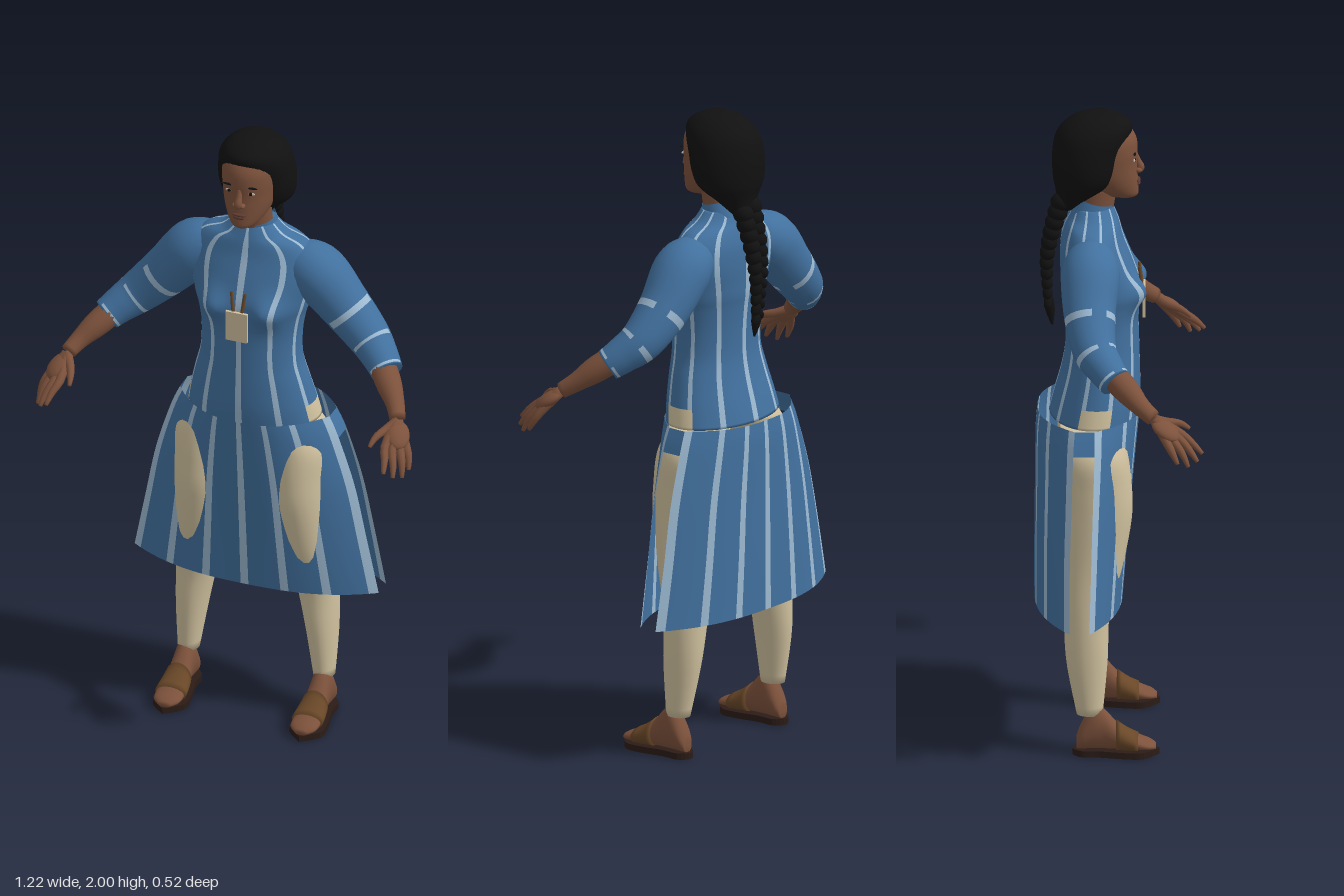
import * as THREE from 'three';

const mat = (name, color, side = THREE.FrontSide) => {
  const m = new THREE.MeshStandardMaterial({ color, side });
  m.name = name;
  return m;
};
const blue = mat('blue cloth', 0x42719f, THREE.DoubleSide);
const pale = mat('pale stripe', 0x9dbad2, THREE.DoubleSide);
const cream = mat('cream cloth', 0xd2c3a0);
const skinMat = mat('brown skin', 0x7d523c);
const hairMat = mat('black hair', 0x111111);
const strapMat = mat('sandal strap', 0x6a4828);
const soleMat = mat('dark sole', 0x2b1c17);
const lipMat = mat('dark lip', 0x5e3a30);
const eyeWhite = mat('eye white', 0xb9aaa0);

// Catmull-Rom resampling of a small table of rows
function smooth(rows, n) {
  const out = [];
  for (let j = 0; j <= n; j++) {
    const f = (j / n) * (rows.length - 1), k = Math.min(Math.floor(f), rows.length - 2), t = f - k;
    const at = (i) => rows[Math.max(0, Math.min(rows.length - 1, i))];
    out.push(rows[0].map((_, c) => {
      const [a, b, d, e] = [at(k - 1)[c], at(k)[c], at(k + 1)[c], at(k + 2)[c]];
      return b + 0.5 * t * (d - a + t * (2 * a - 5 * b + 4 * d - e + t * (3 * (b - d) + e - a)));
    }));
  }
  return out;
}

// Surface through rings of points; pick(i, j) chooses the material of each cell
function skin(name, rings, mats, pick = () => 0, closed = true) {
  const n = rings[0].length, pos = rings.flat(2), buckets = mats.map(() => []);
  for (let j = 0; j < rings.length - 1; j++) {
    for (let i = 0; i < (closed ? n : n - 1); i++) {
      const a = j * n + i, b = j * n + ((i + 1) % n);
      buckets[pick(i, j)].push(a, b, b + n, a, b + n, a + n);
    }
  }
  if (closed) {
    [0, rings.length - 1].forEach((j) => {
      const c = pos.length / 3, r = rings[j];
      for (let k = 0; k < 3; k++) pos.push(r.reduce((s, p) => s + p[k], 0) / n);
      for (let i = 0; i < n; i++) {
        const a = j * n + i, b = j * n + ((i + 1) % n);
        buckets[0].push(c, ...(j ? [a, b] : [b, a]));
      }
    });
    // turn the faces outward
    const v = (i) => new THREE.Vector3(pos[3 * i], pos[3 * i + 1], pos[3 * i + 2]);
    let vol = 0;
    buckets.forEach((q) => {
      for (let i = 0; i < q.length; i += 3) vol += v(q[i]).dot(v(q[i + 1]).cross(v(q[i + 2])));
    });
    if (vol < 0) buckets.forEach((q) => q.reverse());
  }
  const g = new THREE.BufferGeometry();
  g.setAttribute('position', new THREE.Float32BufferAttribute(pos, 3));
  g.setIndex(buckets.flat());
  let start = 0;
  buckets.forEach((q, k) => { g.addGroup(start, q.length, k); start += q.length; });
  g.computeVertexNormals();
  const mesh = new THREE.Mesh(g, mats.length > 1 ? mats : mats[0]);
  mesh.name = name;
  return mesh;
}

// Horizontal ellipse ring; point 0 straddles the front centre line
function ring([y, cx, hw, zf, zb], n = 32) {
  return Array.from({ length: n }, (_, i) => {
    const a = ((i - 0.5) / n) * Math.PI * 2;
    return [cx + hw * Math.sin(a), y, (zf + zb) / 2 + ((zf - zb) / 2) * Math.cos(a)];
  });
}

// Tapered round limb through [x, y, z, radius] rows
function limb(name, rows, mats, n = 12, steps = 10, pick) {
  const path = smooth(rows, steps);
  const rings = path.map((p, j) => {
    const a = path[Math.max(0, j - 1)], b = path[Math.min(steps, j + 1)];
    const t = new THREE.Vector3(b[0] - a[0], b[1] - a[1], b[2] - a[2]).normalize();
    const u = new THREE.Vector3(0.3, 0.2, 1).cross(t).normalize(), w = t.clone().cross(u);
    return Array.from({ length: n }, (_, i) => {
      const q = (i / n) * Math.PI * 2, c = Math.cos(q) * p[3], s = Math.sin(q) * p[3];
      return [p[0] + u.x * c + w.x * s, p[1] + u.y * c + w.y * s, p[2] + u.z * c + w.z * s];
    });
  });
  return skin(name, rings, mats, pick);
}

export function createModel() {
  const model = new THREE.Group();
  const add = (...m) => model.add(...m);
  const ball = (name, material, [x, y, z], [sx, sy, sz], rz = 0) => {
    const m = new THREE.Mesh(new THREE.SphereGeometry(1, 16, 12), material);
    m.name = name;
    m.position.set(x, y, z);
    m.scale.set(sx, sy, sz);
    m.rotation.z = rz;
    add(m);
    return m;
  };

  // Tunic body with vertical stripes and a cream opening at each hip
  const body = smooth([
    [1.70, 0, 0.07, -0.02, -0.14], [1.67, 0, 0.105, -0.008, -0.152], [1.645, 0, 0.165, 0, -0.165],
    [1.60, 0, 0.205, 0.012, -0.178], [1.54, 0, 0.21, 0.035, -0.182], [1.48, 0, 0.192, 0.055, -0.18],
    [1.44, 0, 0.182, 0.062, -0.178], [1.40, 0, 0.17, 0.06, -0.172], [1.33, 0, 0.16, 0.058, -0.166],
    [1.25, 0, 0.162, 0.06, -0.166], [1.18, 0, 0.18, 0.062, -0.178], [1.10, 0, 0.2, 0.063, -0.2],
    [1.04, 0, 0.212, 0.058, -0.215]], 60).map((r) => ring(r, 60));
  body.forEach((r) => r.forEach((p) => {
    if (p[2] > -0.06) p[2] += 0.034 * Math.exp(-(((Math.abs(p[0]) - 0.09) / 0.045) ** 2) - ((p[1] - 1.445) / 0.05) ** 2);
  }));
  add(skin('tunicBody', body, [blue, pale, cream], (i, j) => {
    if (body[j][0][1] < 1.11 && Math.abs(Math.abs(i - 30) - 15) <= 3) return 2;
    return i % 6 === 0 ? 1 : 0;
  }));
  const collar = new THREE.Mesh(new THREE.CylinderGeometry(0.064, 0.074, 0.05, 32, 1, true), blue);
  collar.name = 'collar';
  collar.position.set(0, 1.695, -0.08);
  collar.scale.z = 0.9;
  collar.rotation.x = 0.25;
  add(collar);

  // Skirt panels: [y, half width, front middle z, front edge z, back middle z, back edge z]
  const cut = smooth([[1.05, 0.245, 0.062, -0.075, -0.25, -0.135], [0.98, 0.275, 0.055, -0.075, -0.256, -0.14],
    [0.82, 0.325, 0.04, -0.08, -0.258, -0.145], [0.64, 0.362, 0.025, -0.085, -0.26, -0.15],
    [0.45, 0.40, 0.01, -0.09, -0.26, -0.15]], 24);
  const panel = (name, mid, edge) => add(skin(name, cut.map((r) => Array.from({ length: 32 }, (_, i) => {
    const u = (i / 31) * 2 - 1;
    return [u * r[1], r[0], r[mid] + (r[edge] - r[mid]) * Math.abs(u) ** 2.6];
  })), [blue, pale], (i) => (i % 5 === 0 ? 1 : 0), false));
  panel('frontSkirtPanel', 2, 3);
  panel('backSkirtPanel', 4, 5);

  // Chest pocket with two sticks
  const pocket = new THREE.Mesh(new THREE.BoxGeometry(0.07, 0.1, 0.009), cream);
  pocket.name = 'chestPocket';
  pocket.position.set(0, 1.395, 0.074);
  add(pocket);

  for (const s of [1, -1]) {
    const flip = (rows) => rows.map(([x, ...r]) => [x * s, ...r]);
    add(limb('pocketStick', flip([[0.012, 1.42, 0.07, 0.006], [0.022, 1.505, 0.06, 0.005]]), [strapMat], 8, 2));
    // Side piece joining the panels above the slit
    add(skin('skirtSide', cut.slice(0, 7).map((r) => [[s * r[1], r[0], r[3]], [s * r[1], r[0], r[5]]]), [blue], undefined, false));

    // Sleeve, forearm and hand
    add(limb('sleeve', flip([[0.13, 1.575, -0.085, 0.07], [0.20, 1.545, -0.088, 0.09], [0.285, 1.45, -0.09, 0.08],
      [0.37, 1.365, -0.075, 0.068], [0.425, 1.32, -0.04, 0.057], [0.46, 1.29, -0.01, 0.05]]), [blue, pale], 20, 28,
    (i, j) => ((j === 12 || j === 18 || j === 26) && i % 10 < 8 ? 1 : 0)));
    add(limb('forearm', flip([[0.42, 1.325, -0.04, 0.042], [0.475, 1.275, 0.02, 0.041], [0.515, 1.235, 0.065, 0.03],
      [0.54, 1.205, 0.105, 0.025]]), [skinMat], 14, 10));
    const palm = ball('palm', skinMat, [s * 0.556, 1.172, 0.143], [0.037, 0.02, 0.05]);
    palm.rotation.set(0.6, s * 0.3, s * -0.4);
    const fingers = [
      [[0.532, 1.155, 0.185], [0.545, 1.125, 0.225], [0.553, 1.095, 0.255]],
      [[0.553, 1.145, 0.182], [0.57, 1.11, 0.217], [0.578, 1.078, 0.24]],
      [[0.573, 1.14, 0.168], [0.59, 1.105, 0.195], [0.597, 1.068, 0.212]],
      [[0.585, 1.14, 0.148], [0.6, 1.11, 0.165], [0.606, 1.08, 0.18]],
      [[0.518, 1.185, 0.145], [0.5, 1.175, 0.185], [0.492, 1.155, 0.215]]];
    fingers.forEach((f) => add(limb('finger', flip([[0.542, 1.2, 0.11, 0.017],
      [...f[0], 0.014], [...f[1], 0.011], [...f[2], 0.006]]), [skinMat], 8, 8)));

    // Legging
    add(skin('legging', smooth([[1.03, 0.11, 0.09, 0.01, -0.18], [0.95, 0.15, 0.1, 0.026, -0.19], [0.85, 0.158, 0.095, 0.038, -0.19],
      [0.75, 0.163, 0.09, 0.039, -0.185], [0.6, 0.177, 0.077, 0.012, -0.178], [0.45, 0.196, 0.066, -0.028, -0.17],
      [0.3, 0.212, 0.051, -0.035, -0.162], [0.13, 0.222, 0.033, -0.05, -0.13]], 32)
      .map(([y, x, ...r]) => ring([y, x * s, ...r], 28)), [cream]));

    // Foot with sandal: [z, half width, top y]
    const footRows = smooth([[-0.13, 0.018, 0.06], [-0.115, 0.03, 0.1], [-0.08, 0.034, 0.16], [-0.05, 0.033, 0.15],
      [-0.01, 0.037, 0.105], [0.03, 0.043, 0.075], [0.07, 0.045, 0.055], [0.095, 0.038, 0.045], [0.112, 0.018, 0.035]], 24);
    const footRing = ([z, hw, top], grow) => Array.from({ length: 20 }, (_, i) => {
      const a = (i / 20) * Math.PI * 2, h = (top - 0.018) / 2;
      return [s * 0.224 + (hw + grow) * Math.cos(a), 0.018 + h + (h + grow) * Math.sin(a), z];
    });
    add(skin('foot', footRows.map((r) => footRing(r, 0)), [skinMat]));
    add(skin('sandalStrap', footRows.slice(12, 18).map((r) => footRing(r, 0.005)), [strapMat]));
    const outline = new THREE.Shape(new THREE.SplineCurve([[0, -0.122], [0.05, -0.075], [0.052, -0.02], [0.036, 0.06], [0.034, 0.115],
      [0, 0.143], [-0.034, 0.115], [-0.036, 0.06], [-0.052, -0.02], [-0.05, -0.075], [0, -0.122]]
      .map((p) => new THREE.Vector2(...p))).getPoints(40));
    const sole = new THREE.Mesh(new THREE.ExtrudeGeometry(outline, { depth: 0.02, bevelEnabled: false }), soleMat);
    sole.name = 'sandalSole';
    sole.rotation.x = -Math.PI / 2;
    sole.position.x = s * 0.224;
    add(sole);

    // Eye, brow and nostril wing
    ball('eyeWhite', eyeWhite, [s * 0.035, 1.856, 0.0445], [0.014, 0.005, 0.004]);
    ball('iris', hairMat, [s * 0.035, 1.856, 0.0465], [0.006, 0.0055, 0.004]);
    ball('eyebrow', hairMat, [s * 0.037, 1.877, 0.046], [0.02, 0.0035, 0.004], s * 0.05);
    ball('nostrilWing', skinMat, [s * 0.012, 1.815, 0.058], [0.009, 0.008, 0.011]);
  }

  // Neck, head and face
  add(limb('neck', [[0, 1.66, -0.08, 0.056], [0, 1.78, -0.06, 0.055]], [skinMat], 24, 4));
  add(skin('head', smooth([[1.728, 0, 0.02, 0.045, 0.0], [1.738, 0, 0.042, 0.057, -0.05], [1.765, 0, 0.063, 0.057, -0.1],
    [1.80, 0, 0.077, 0.055, -0.13], [1.84, 0, 0.085, 0.053, -0.15], [1.88, 0, 0.089, 0.055, -0.16],
    [1.92, 0, 0.087, 0.05, -0.16], [1.955, 0, 0.07, 0.026, -0.13], [1.975, 0, 0.03, -0.02, -0.08]], 30).map((r) => ring(r)), [skinMat]));
  add(limb('nose', [[0, 1.868, 0.046, 0.008], [0, 1.84, 0.056, 0.01], [0, 1.82, 0.064, 0.0125], [0, 1.808, 0.056, 0.007]], [skinMat], 12, 9));
  ball('upperLip', lipMat, [0, 1.781, 0.057], [0.024, 0.005, 0.007]);
  ball('lowerLip', lipMat, [0, 1.772, 0.057], [0.019, 0.006, 0.007]);

  // Hair cap, swept back behind the face
  add(skin('hair', smooth([[2.0, 0, 0.018, -0.04, -0.085], [1.99, 0, 0.058, 0.0, -0.13], [1.965, 0, 0.09, 0.036, -0.17],
    [1.93, 0, 0.11, 0.035, -0.195], [1.88, 0, 0.12, 0.018, -0.205], [1.83, 0, 0.122, 0.005, -0.206],
    [1.79, 0, 0.114, -0.012, -0.203], [1.765, 0, 0.095, -0.035, -0.198], [1.735, 0, 0.066, -0.075, -0.194],
    [1.69, 0, 0.035, -0.14, -0.195]], 32).map((r) => ring(r, 36)), [hairMat]));

  // Braid of paired slanting lobes
  for (let k = 0; k < 11; k++) {
    const t = k / 10, w = 1 - 0.6 * t;
    for (const s of [1, -1]) {
      ball('braidLobe', hairMat, [s * 0.02 * w, 1.715 - 0.33 * t - (s > 0 ? 0.015 : 0), -0.178 - 0.055 * Math.sin(Math.min(1, t * 1.5) * 1.5) + 0.015 * t],
        [0.031 * w, 0.03 - 0.008 * t, 0.033 * w], s * 0.6);
    }
  }
  add(limb('braidTip', [[0, 1.4, -0.215, 0.012], [0, 1.36, -0.212, 0.015], [0, 1.31, -0.205, 0.003]], [hairMat], 10, 6));
  return model;
}
